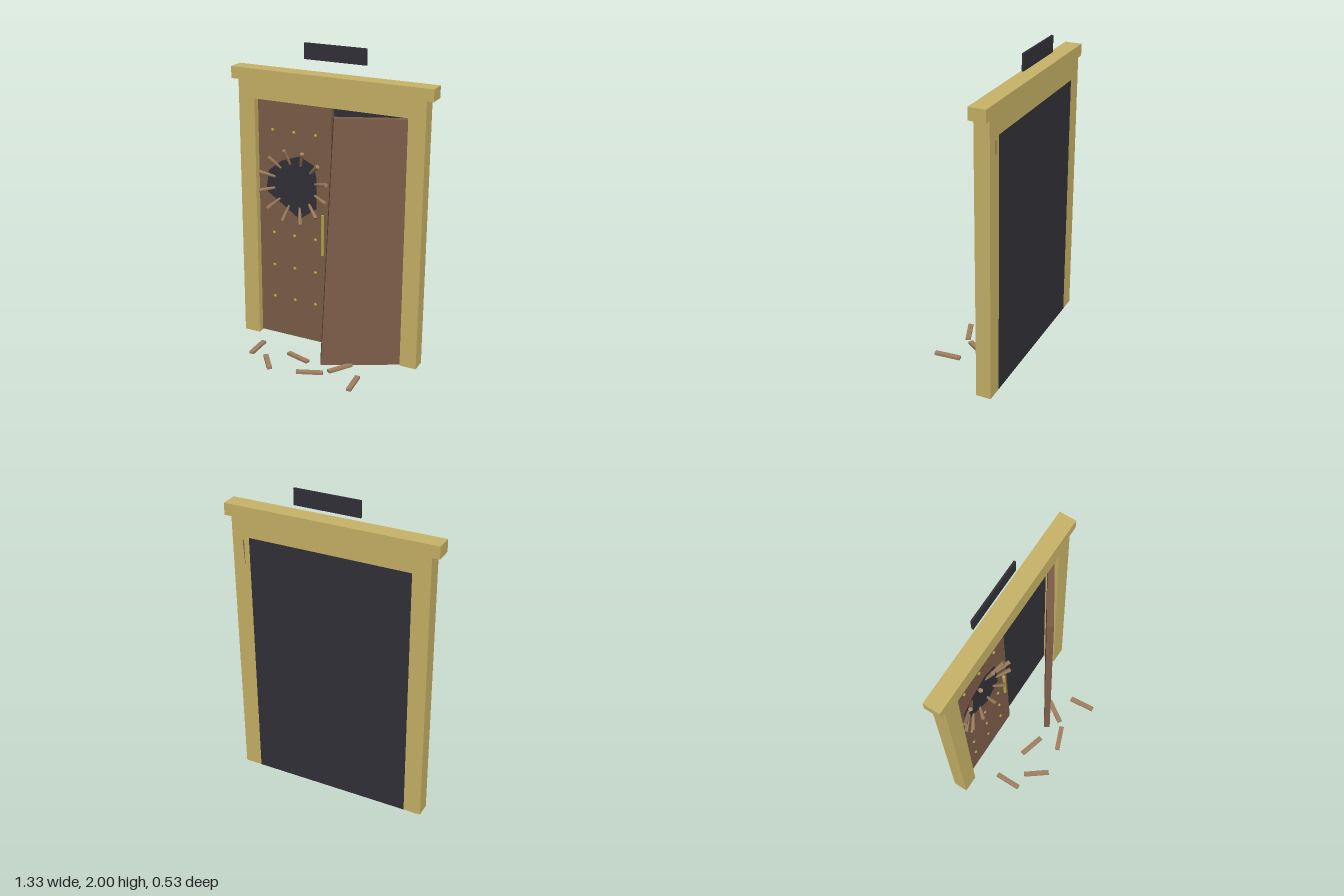
import * as THREE from 'three';

export function createModel() {
  const root = new THREE.Group();
  const mat = (name, color) => {
    const m = new THREE.MeshStandardMaterial({ color });
    m.name = name;
    return m;
  };
  const frameMat = mat('pale frame wood', 0xc9b468);
  const doorMat = mat('brown door wood', 0x7d5d49);
  const darkMat = mat('dark void', 0x323138);
  const splinterMat = mat('splintered wood', 0xa08060);
  const brassMat = mat('brass', 0xb5a545);

  const add = (name, geo, material, parent = root) => {
    const mesh = new THREE.Mesh(geo, material);
    mesh.name = name;
    parent.add(mesh);
    return mesh;
  };
  // Box given by its lower and upper limits
  const box = (name, material, [x0, x1], [y0, y1], [z0, z1], parent) => {
    const mesh = add(name, new THREE.BoxGeometry(x1 - x0, y1 - y0, z1 - z0), material, parent);
    mesh.position.set((x0 + x1) / 2, (y0 + y1) / 2, (z0 + z1) / 2);
    return mesh;
  };

  // Door frame
  const frameZ = [-0.26, -0.165];
  box('leftPost', frameMat, [0.51, 0.62], [0.01, 1.755], frameZ);
  box('rightPost', frameMat, [-0.62, -0.51], [0.01, 1.755], frameZ);
  box('lintel', frameMat, [-0.51, 0.51], [1.64, 1.755], frameZ);
  box('cap', frameMat, [-0.665, 0.665], [1.755, 1.83], [-0.262, -0.155]);

  // Dark backing and the plaque floating above
  box('darkBacking', darkMat, [-0.51, 0.51], [0.01, 1.64], [-0.26, -0.25]);
  box('plaque', darkMat, [-0.205, 0.205], [1.9, 2], [-0.262, -0.25]);

  // Closed door leaf
  const doorFront = -0.21;
  box('closedDoor', doorMat, [-0.51, -0.003], [0.015, 1.638], [-0.25, doorFront]);

  // Jagged hole
  const outline = [
    [-0.35, 1.245], [-0.44, 1.17], [-0.46, 1.03], [-0.344, 0.955], [-0.222, 0.87],
    [-0.1, 0.96], [-0.1, 1.155], [-0.12, 1.245], [-0.217, 1.293],
  ];
  const holeShape = new THREE.Shape(outline.map(([x, y]) => new THREE.Vector2(x, y)));
  add('jaggedHole', new THREE.ShapeGeometry(holeShape), darkMat).position.z = doorFront + 0.003;

  // Splinters bent outward round the hole, thicker at the outer end
  const splinters = new THREE.Group();
  splinters.name = 'splinters';
  root.add(splinters);
  const up = new THREE.Vector3(0, 1, 0);
  for (let i = 0; i < 12; i++) {
    const a = ((13 + 30 * i) * Math.PI) / 180;
    const at = (r, z) => new THREE.Vector3(-0.255 + r * Math.cos(a), 1.09 + r * Math.sin(a), z);
    const inner = at(0.145, doorFront);
    const outer = at(0.245, -0.17);
    const dir = outer.clone().sub(inner);
    const rod = add('splinter', new THREE.CylinderGeometry(0.015, 0.008, dir.length(), 5), splinterMat, splinters);
    rod.position.copy(inner).add(outer).multiplyScalar(0.5);
    rod.quaternion.setFromUnitVectors(up, dir.normalize());
  }

  // Studs and pull handle
  for (const y of [1.44, 0.745, 0.515, 0.285]) {
    for (const x of [-0.41, -0.26, -0.11]) {
      add('stud', new THREE.SphereGeometry(0.012, 6, 4), brassMat).position.set(x, y, doorFront);
    }
  }
  add('handle', new THREE.CylinderGeometry(0.011, 0.011, 0.275, 8), brassMat)
    .position.set(-0.053, 0.793, doorFront + 0.015);

  // Broken door leaf, swung open and sagging
  const openDoor = new THREE.Group();
  openDoor.name = 'openDoor';
  openDoor.position.set(0.06, 0.025, 0.06);
  openDoor.rotation.set(0, 0.55, -0.045, 'YXZ');
  root.add(openDoor);
  box('openDoorPanel', doorMat, [0, 0.515], [0, 1.62], [-0.02, 0.02], openDoor);

  // Broken pieces on the floor: x, z and direction seen from above
  const pieces = [
    [-0.41, 0.04, 0, 1], [-0.26, 0.177, 28, 37], [-0.11, 0.042, 45, 13],
    [0.04, 0.177, 44, -17], [0.19, 0.045, 29, -44], [0.34, 0.177, 4, 47],
  ];
  for (const [x, z, dx, dz] of pieces) {
    const piece = add('floorPiece', new THREE.BoxGeometry(0.17, 0.016, 0.032), splinterMat);
    piece.position.set(x, 0.019, z);
    piece.rotation.y = Math.atan2(-dz, dx);
  }

  return root;
}
